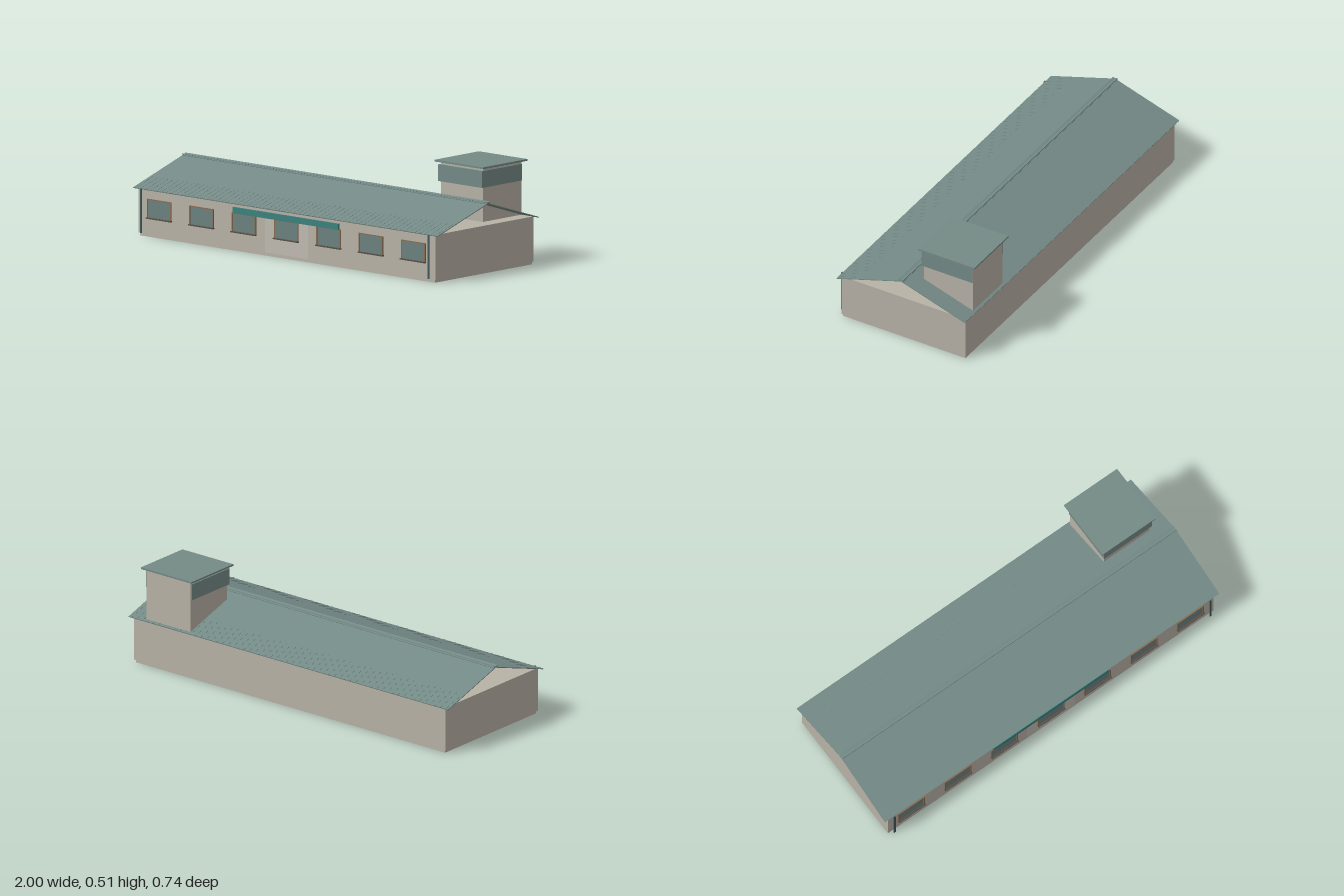
import * as THREE from 'three';

const mat = (name, color) => {
  const m = new THREE.MeshStandardMaterial({ color });
  m.name = name;
  return m;
};

export function createModel() {
  const model = new THREE.Group();
  model.name = 'longHouse';
  const wall = mat('warm grey plaster', 0xb8b2a6);
  const panel = mat('pale plaster', 0xbfbab0);
  const roofing = mat('grey green roofing', 0x748a86);
  const glass = mat('window glass', 0x6c827f);
  const wood = mat('brown wood', 0x8a6b4e);
  const sillMat = mat('dark sill', 0x5a5148);
  const teal = mat('teal fascia', 0x3c827d);
  const pipe = mat('dark green pipe', 0x41585a);

  // Box given by its lower and upper limits on each axis
  const box = (name, m, [x0, x1], [y0, y1], [z0, z1], parent = model) => {
    const mesh = new THREE.Mesh(new THREE.BoxGeometry(x1 - x0, y1 - y0, z1 - z0), m);
    mesh.position.set((x0 + x1) / 2, (y0 + y1) / 2, (z0 + z1) / 2);
    mesh.name = name;
    parent.add(mesh);
    return mesh;
  };

  // Plinth and main hall
  box('plinth', wall, [-0.968, 0.968], [0, 0.015], [-0.346, 0.346]);
  box('hall', wall, [-0.975, 0.975], [0.014, 0.236], [-0.352, 0.351]);

  // Roof: two thin pitched slabs over open gables
  const ridgeY = 0.35, eaveY = 0.235, eaveZ = 0.363, thick = 0.004;
  const pitch = Math.atan2(ridgeY - eaveY, eaveZ);
  const slope = Math.hypot(ridgeY - eaveY, eaveZ);
  for (const side of [1, -1]) {
    const slab = new THREE.Group();
    slab.name = side > 0 ? 'frontRoof' : 'backRoof';
    slab.position.y = ridgeY;
    slab.rotation.y = side > 0 ? 0 : Math.PI;
    const tilt = new THREE.Group();
    tilt.name = 'roofSlope';
    tilt.rotation.x = pitch;
    slab.add(tilt);
    box('roofSheet', roofing, [-1, 1], [-thick, 0], [0, slope], tilt);

    // Low ribs along the eaves
    const count = 60;
    const ribs = new THREE.InstancedMesh(new THREE.BoxGeometry(0.006, 0.002, 0.13), roofing, count);
    ribs.name = 'eaveRibs';
    for (let i = 0; i < count; i++) {
      const x = -0.983 + (1.966 * i) / (count - 1);
      ribs.setMatrixAt(i, new THREE.Matrix4().makeTranslation(x, 0, slope - 0.0655));
    }
    // Plain meshes sharing one geometry
    for (let i = 0; i < count; i++) {
      const rib = new THREE.Mesh(ribs.geometry, roofing);
      ribs.getMatrixAt(i, rib.matrix);
      rib.matrix.decompose(rib.position, rib.quaternion, rib.scale);
      rib.name = 'eaveRib';
      tilt.add(rib);
    }
    model.add(slab);

    // Crossed ridge strips
    const cap = box('ridgeCap', roofing, [-1, 1], [0.3485, 0.3525], [-0.014, 0.014]);
    cap.rotation.x = side * pitch;

    // Downpipes at the front corners
    box('downpipe', pipe, [side * 0.945 - 0.005, side * 0.945 + 0.005], [0.018, 0.235], [0.364, 0.369]);
  }

  // Tower with a band on three faces and a flat cap
  box('tower', wall, [0.625, 0.9], [0.23, 0.5], [-0.348, -0.071]);
  box('towerBand', roofing, [0.617, 0.905], [0.405, 0.487], [-0.345, -0.059]);
  box('towerCap', roofing, [0.602, 0.92], [0.5, 0.509], [-0.367, -0.05]);

  // Entrance panel and fascia above it
  box('entrancePanel', panel, [-0.143, 0.14], [0.017, 0.19], [0.35, 0.3525]);
  box('fascia', teal, [-0.35, 0.345], [0.186, 0.216], [0.35, 0.3605]);

  // Seven framed windows across the front
  for (let i = -3; i <= 3; i++) {
    const win = new THREE.Group();
    win.name = 'window';
    win.position.x = i * 0.2783 - 0.001;
    model.add(win);
    box('glass', glass, [-0.076, 0.076], [0.097, 0.187], [0.35, 0.3545], win);
    for (const s of [-1, 1]) {
      box('frameSide', wood, [s * 0.076 - 0.003, s * 0.076 + 0.003], [0.097, 0.187], [0.35, 0.357], win);
    }
    box('frameTop', wood, [-0.079, 0.079], [0.184, 0.188], [0.35, 0.357], win);
    box('sill', sillMat, [-0.081, 0.081], [0.091, 0.097], [0.35, 0.364], win);
  }
  return model;
}
